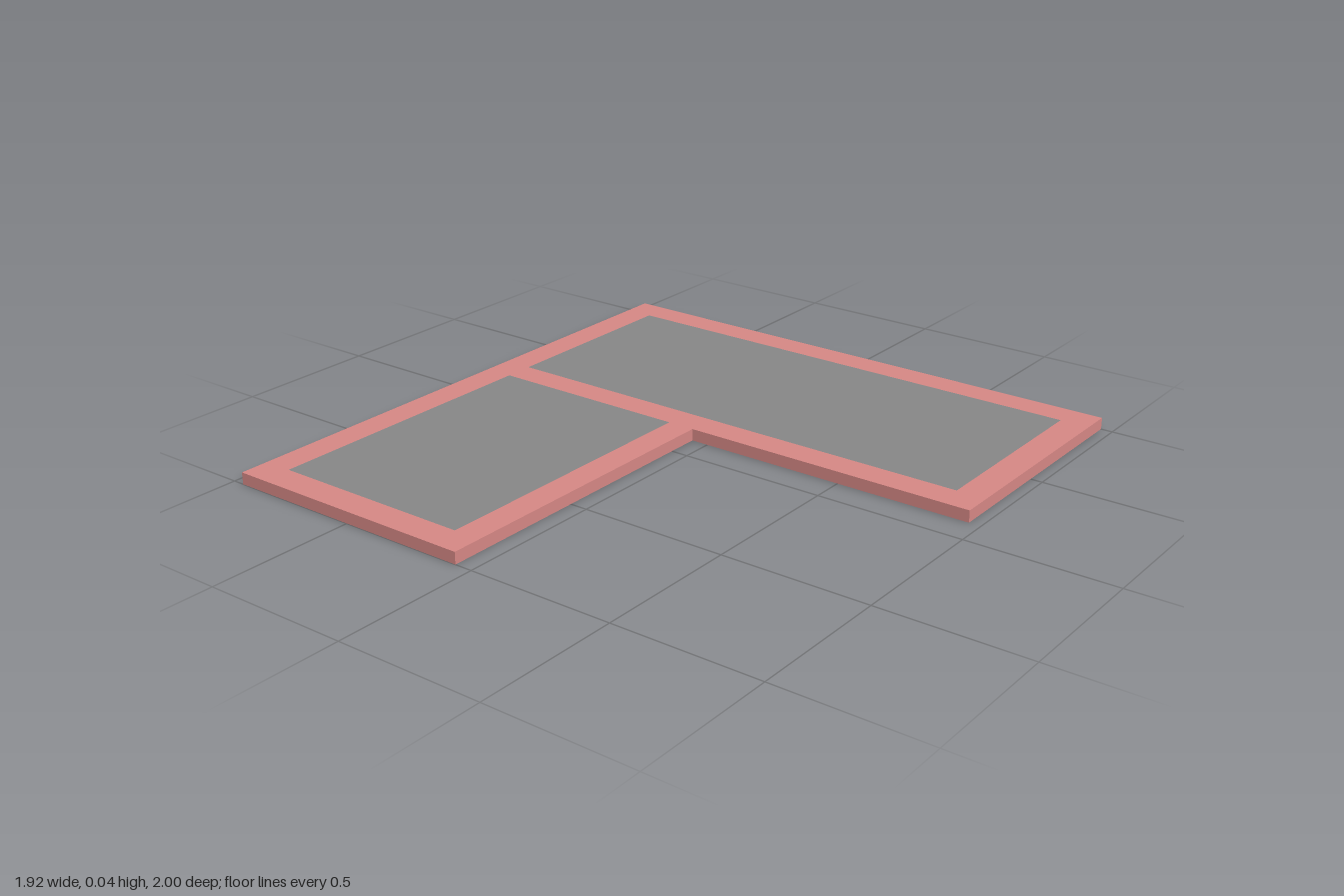
import * as THREE from 'three';

const H = 0.04;        // slab thickness
const POCKET = 0.015;  // depth of the pocket in the underside

const frameMat = new THREE.MeshStandardMaterial({ color: 0xd58784 });
const panelMat = new THREE.MeshStandardMaterial({ color: 0x868686 });

// Plan points are [x, z]; the shape's y axis becomes -z once laid flat.
const toPoints = (pts) => pts.map(([x, z]) => new THREE.Vector2(x, -z));
const rect = (x0, x1, z0, z1) => [[x0, z0], [x0, z1], [x1, z1], [x1, z0]];

// Flat slab from a plan outline, standing between heights y0 and y1
function slab(name, outline, holes, y0, y1, material) {
  const shape = new THREE.Shape(toPoints(outline));
  for (const h of holes) shape.holes.push(new THREE.Path(toPoints(h)));
  const geometry = new THREE.ExtrudeGeometry(shape, { depth: y1 - y0, bevelEnabled: false });
  geometry.rotateX(-Math.PI / 2);
  geometry.translate(0, y0, 0);
  const mesh = new THREE.Mesh(geometry, material);
  mesh.name = name;
  return mesh;
}

export function createModel() {
  const model = new THREE.Group();
  model.name = 'floorSlab';

  const backRoom = rect(-0.86, 0.86, -0.9, -0.21);
  const frontRoom = rect(-0.86, -0.155, -0.11, 0.9);

  // L-shaped border with a divider between the two rooms
  const outline = [[-0.96, -1], [-0.96, 1], [-0.06, 1], [-0.06, -0.11], [0.96, -0.11], [0.96, -1]];
  model.add(slab('wallBorder', outline, [backRoom, frontRoom], 0, H, frameMat));

  // Large back panel
  model.add(slab('backPanel', backRoom, [], 0, H, panelMat));

  // Front panel: full upper layer, lower layer notched at the inner corner
  const notched = [[-0.86, -0.11], [-0.86, 0.9], [-0.155, 0.9], [-0.155, 0.21], [-0.47, 0.21], [-0.47, -0.11]];
  const frontPanel = new THREE.Group();
  frontPanel.name = 'frontPanel';
  frontPanel.add(
    slab('frontPanelTop', frontRoom, [], POCKET, H, panelMat),
    slab('frontPanelUnderside', notched, [], 0, POCKET, panelMat),
  );
  model.add(frontPanel);

  return model;
}
